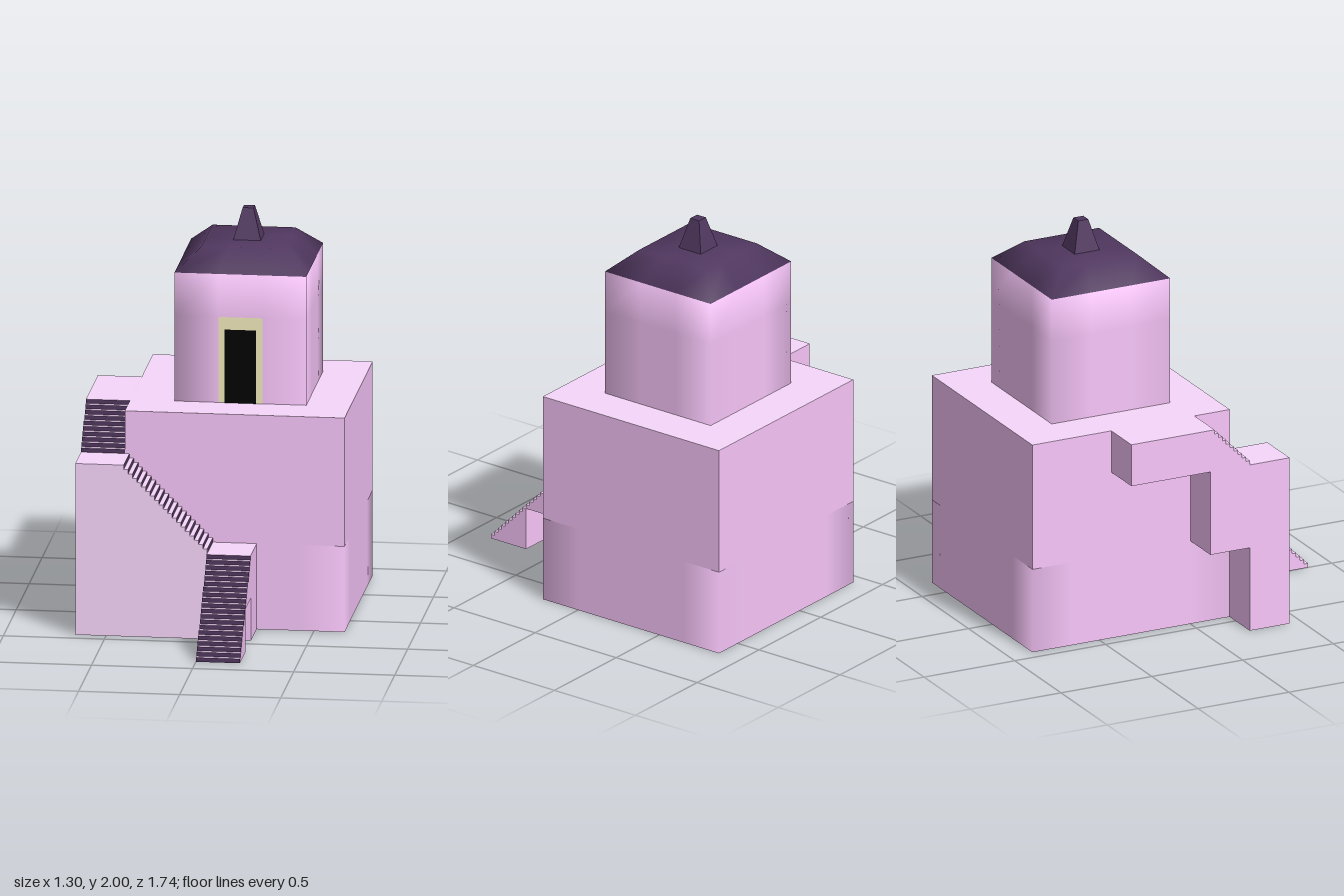
import * as THREE from 'three';

const U = 2 / 9.2;          // building module
const S = U / 10;           // height and depth of one step
const mat = (color, extra = {}) => new THREE.MeshStandardMaterial({ color, ...extra });
const pink = mat(0xf8c6fa);
const pale = mat(0xf7d7fb);
const purple = mat(0x50375f);
const cream = mat(0xf3e9bc);
const black = mat(0x020202);

function add(parent, name, geometry, material, x = 0, y = 0, z = 0) {
  const mesh = new THREE.Mesh(geometry, material);
  mesh.name = name;
  mesh.position.set(x, y, z);
  parent.add(mesh);
  return mesh;
}

// Square rings [half, y, tilt of normal in degrees] joined with soft corners.
// Bands from roofBand upward use the second material.
function loft(rings, n, roofBand = Infinity) {
  const pos = [], normal = [], index = [], m = 4 * n;
  const faces = [[0, 1], [1, 0], [0, -1], [-1, 0]];
  for (const [h, y, tilt] of rings) {
    for (let j = 0; j < m; j++) {
      const side = Math.floor(j / n), t = -h + 2 * h * (j % n) / n;
      const [x, z] = [[t, h], [h, -t], [-t, -h], [-h, t]][side];
      pos.push(x, y, z);
      const out = new THREE.Vector2(...faces[side]);
      if (j % n === 0) out.add(new THREE.Vector2(...faces[(side + 3) % 4])).normalize();
      const a = THREE.MathUtils.degToRad(tilt);
      normal.push(out.x * Math.cos(a), Math.sin(a), out.y * Math.cos(a));
    }
  }
  const g = new THREE.BufferGeometry();
  for (let r = 0; r < rings.length - 1; r++) {
    const start = index.length;
    for (let j = 0; j < m; j++) {
      const a = r * m + j, b = r * m + (j + 1) % m;
      index.push(a, b, b + m);
      if (rings[r + 1][0] > 0) index.push(a, b + m, a + m);
    }
    g.addGroup(start, index.length - start, r >= roofBand ? 1 : 0);
  }
  g.setAttribute('position', new THREE.Float32BufferAttribute(pos, 3));
  g.setAttribute('normal', new THREE.Float32BufferAttribute(normal, 3));
  g.setIndex(index);
  return g;
}

// Steps climbing from a towards smaller a: corner points of the outline.
function steps(a, y, n) {
  const pts = [];
  for (let i = 0; i < n; i++) pts.push([a - i * S, y + i * S], [a - i * S, y + (i + 1) * S]);
  return pts;
}

// Outline with n steps from (a, y), extruded one module wide. Dark risers and
// pale treads lie on the steps; the last tread is a landing reaching to end.
function flight(name, before, after, a, y, n, end, materials) {
  const group = new THREE.Group();
  group.name = name;
  const outline = [...before, ...steps(a, y, n), ...after];
  const shape = new THREE.Shape(outline.map(p => new THREE.Vector2(...p)));
  add(group, name + 'Block', new THREE.ExtrudeGeometry(shape, { depth: U, bevelEnabled: false }), materials);
  const riser = new THREE.PlaneGeometry(U, S).rotateY(Math.PI / 2);
  for (let i = 0; i < n; i++) {
    const front = a - i * S, back = i < n - 1 ? front - S : end;
    add(group, 'riser', riser, purple, front + 0.001, y + (i + 0.5) * S, U / 2);
    const tread = new THREE.PlaneGeometry(front - back, U).rotateX(-Math.PI / 2);
    add(group, 'tread', tread, pale, (front + back) / 2, y + (i + 1) * S + 0.001, U / 2);
  }
  return group;
}

export function createModel() {
  const model = new THREE.Group();
  const paleTop = [pink, pink, pale, pink, pink, pink];

  // Main body: soft-cornered lower storey and sharp upper storeys
  add(model, 'lowerStorey', loft([[2.5 * U, 0, 0], [2.5 * U, 2 * U, 0]], 5), [pink], U / 2, 0, -1.5 * U);
  add(model, 'upperStorey', new THREE.BoxGeometry(5 * U, 3 * U, 5 * U), paleTop, U / 2, 3.5 * U, -1.5 * U);

  // Underside, open below two pits
  const pits = [[1, 2, -3, -1], [-1, 1, -1, 0]];
  const tile = new THREE.PlaneGeometry(U, U).rotateX(Math.PI / 2);
  for (let x = -2; x < 3; x++) {
    for (let z = -4; z < 1; z++) {
      if (pits.some(([x0, x1, z0, z1]) => x >= x0 && x < x1 && z >= z0 && z < z1)) continue;
      add(model, 'underside', tile, pink, (x + 0.5) * U, 0, (z + 0.5) * U);
    }
  }
  for (const [x0, x1, z0, z1] of pits) {
    const g = new THREE.BoxGeometry((x1 - x0) * U, 2 * U, (z1 - z0) * U);
    // Drop the bottom face and turn the others into the pit
    g.setIndex([...g.index.array].filter((_, i) => i < 18 || i >= 24).reverse());
    g.clearGroups();
    g.computeVertexNormals();
    add(model, 'pit', g, pink, (x0 + x1) / 2 * U, U, (z0 + z1) / 2 * U);
  }

  // Tower with its roof
  const cx = U / 2, cz = -1.5 * U, h = 1.5 * U, top = 1.846;
  const rings = [[h, 5 * U, 0], [h, 6 * U, 0], [h, 7 * U, 0], [h, 8 * U, 24], [0.205, top, 69], [0, top, 90]];
  add(model, 'towerAndRoof', loft(rings, 3, 3), [pink, purple], cx, 0, cz);
  const finial = new THREE.CylinderGeometry(0.027 * Math.SQRT2, 0.068 * Math.SQRT2, 2 - top, 4).rotateY(Math.PI / 4);
  add(model, 'finial', finial, mat(0x50375f, { flatShading: true }), cx, (2 + top) / 2, cz);

  // Doorway
  add(model, 'doorFrame', new THREE.PlaneGeometry(U, 2 * U), cream, cx, 6 * U, 0.002);
  add(model, 'doorOpening', new THREE.PlaneGeometry(0.155, 0.372), black, cx, 5 * U + 0.186, 0.004);

  // Lowest flight, running forward over a small passage
  const lower = flight('lowerStairs', [[2 * U, U], [3 * U, U - 0.0005], [3 * U, 0]], [[2 * U, 2 * U]],
    4 * U, 0, 20, 2 * U, pink);
  lower.rotation.y = -Math.PI / 2;
  lower.position.x = U;

  // Lower landing, and the middle flight along the front wall
  add(model, 'lowerLanding', new THREE.BoxGeometry(U, 2 * U, U), paleTop, U / 2, U, 1.5 * U);
  const middle = flight('middleStairs', [[-3 * U, 0], [0, 0]], [[-3 * U, 4 * U]],
    0, 2 * U, 20, -3 * U, [pale, pink]);
  middle.position.z = U;
  const wallBack = new THREE.PlaneGeometry(U, 4 * U).rotateY(Math.PI);
  add(middle, 'wallBack', wallBack, pink, -2.5 * U, 2 * U, -0.001);

  // Top flight and the overhanging platform behind it
  const upper = flight('upperStairs', [[-2 * U, 4 * U], [0, 4 * U], [0, 2 * U], [U, 2 * U]], [[-2 * U, 5 * U]],
    U, 4 * U, 10, -2 * U, pink);
  upper.rotation.y = -Math.PI / 2;
  upper.position.x = -2 * U;

  model.add(lower, middle, upper);
  return model;
}
